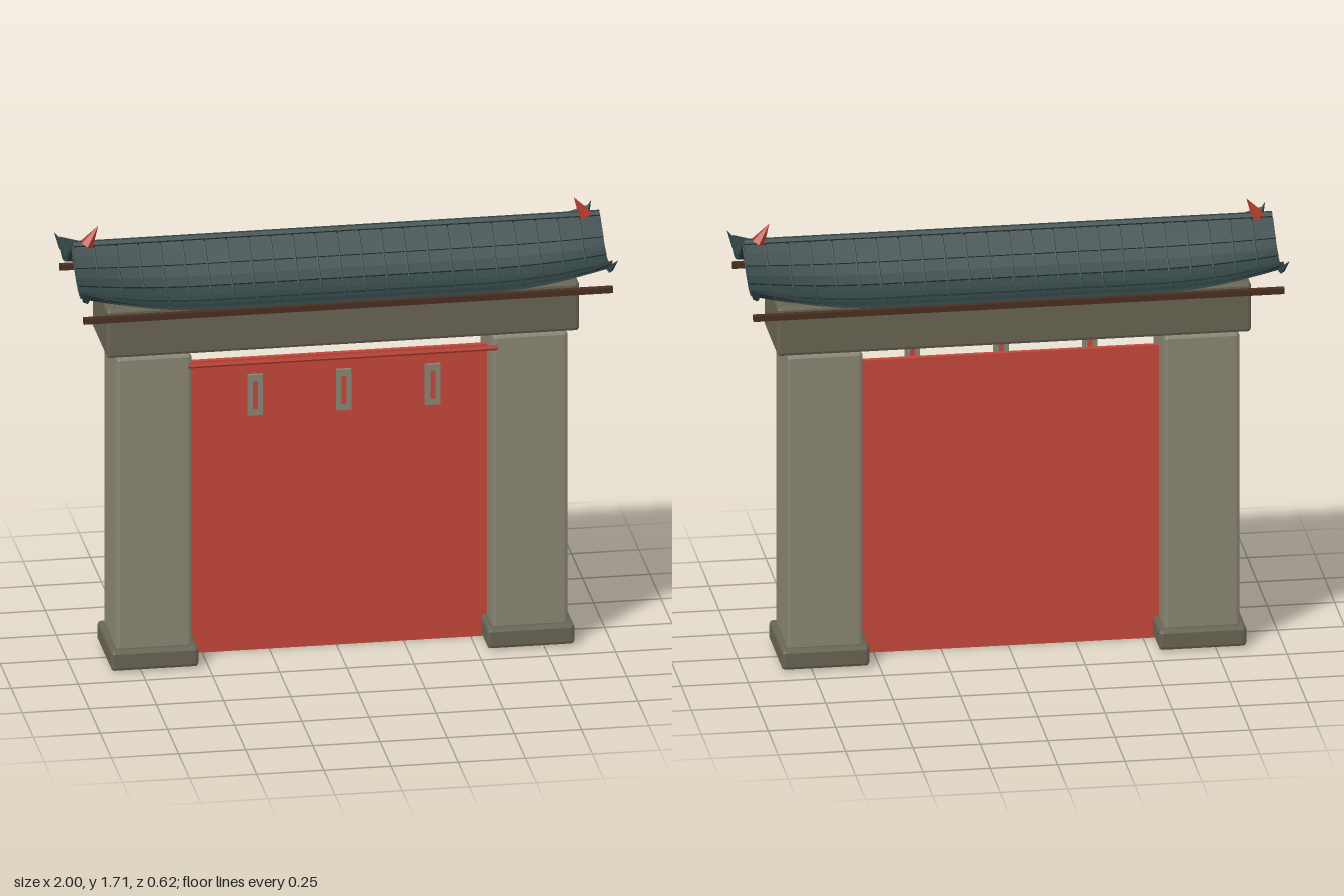
import * as THREE from 'three';
import { mergeGeometries } from 'three/addons/utils/BufferGeometryUtils.js';
import { RoundedBoxGeometry } from 'three/addons/geometries/RoundedBoxGeometry.js';

const paint = (name, color, extra = {}) => {
  const m = new THREE.MeshStandardMaterial({ color, flatShading: true, ...extra });
  m.name = name;
  return m;
};

// Height of the roof over z (ridge to eave); the ends sweep upward toward the corners
const HALF = 0.985, EAVE = 0.285;
const profile = new THREE.SplineCurve([[0, 1.62], [0.07, 1.55], [0.14, 1.487], [0.21, 1.452], [EAVE, 1.46]]
  .map(p => new THREE.Vector2(...p)));
function roofPoint(x, v, lift = 0) {
  const p = profile.getPoint(v), t = profile.getTangent(v);
  const s = Math.max(0, (Math.abs(x) - 0.5) / (HALF - 0.5));
  const y = p.y + 0.078 * s * s * Math.pow(v, 1.4);
  return new THREE.Vector3(x, y + t.x * lift, p.x - t.y * lift);
}

// Reshape a geometry by a rule applied to every vertex
function reshape(geo, rule) {
  const pos = geo.attributes.position, p = new THREE.Vector3();
  for (let i = 0; i < pos.count; i++) {
    const q = rule(p.fromBufferAttribute(pos, i));
    pos.setXYZ(i, q.x, q.y, q.z);
  }
  geo.computeVertexNormals();
  return geo;
}

// Cone from a base point to a tip
function spike(base, tip, radius, sides) {
  const a = new THREE.Vector3(...base), b = new THREE.Vector3(...tip), d = b.clone().sub(a);
  const geo = new THREE.ConeGeometry(radius, d.length(), sides);
  geo.applyQuaternion(new THREE.Quaternion().setFromUnitVectors(new THREE.Vector3(0, 1, 0), d.normalize()));
  const c = a.add(b).multiplyScalar(0.5);
  return geo.translate(c.x, c.y, c.z);
}

export function createModel() {
  const model = new THREE.Group();
  model.name = 'gate';
  const stone = paint('stone', 0x8a8674);
  const darkStone = paint('dark stone', 0x686453);
  const red = paint('red panel', 0xc4473a);
  const accent = paint('accent red', 0xb23a2c);
  const tile = paint('roof tile', 0x2f4142, { side: THREE.DoubleSide });
  const wood = paint('dark wood', 0x4a2e20);

  const add = (name, geo, mat, x = 0, y = 0, z = 0, parent = model) => {
    const m = new THREE.Mesh(geo, mat);
    m.name = name;
    m.position.set(x, y, z);
    parent.add(m);
    return m;
  };
  const chamferBox = (w, h, d, c = 0.013) => {
    const g = new RoundedBoxGeometry(w, h, d, 1, c);
    g.computeVertexNormals();
    return g;
  };

  // Pillars on plinths, with the lintel across
  for (const s of [1, -1]) {
    const side = s > 0 ? 'left' : 'right';
    add(side + 'Pillar', chamferBox(0.28, 1.16, 0.29), stone, s * 0.70, 0.655, 0);
    add(side + 'Plinth', chamferBox(0.325, 0.08, 0.33), darkStone, s * 0.70, 0.045, 0);
  }
  add('lintel', chamferBox(1.76, 0.195, 0.33), darkStone, 0, 1.338, 0);

  // Curtain panel and its rail
  add('panel', new THREE.BoxGeometry(1.13, 1.15, 0.02), red, 0, 0.575, 0);
  add('rail', new THREE.CylinderGeometry(0.01, 0.01, 1.15, 8).rotateZ(Math.PI / 2), accent, 0, 1.195, 0.165);

  // Hanging plaques with red centres
  for (const x of [-0.33, 0, 0.33]) {
    add('plaque', new THREE.BoxGeometry(0.056, 0.16, 0.013), stone, x, 1.072, 0.177);
    add('plaqueCentre', new THREE.BoxGeometry(0.018, 0.108, 0.019), red, x, 1.072, 0.177);
  }

  // One roof slope: underlay, overlapping tiles, corner tips and eave pole
  const columns = 24, rows = 4, pitch = 2 * HALF / columns, gap = 0.003;
  const underlay = reshape(new THREE.PlaneGeometry(2 * HALF, 1, columns, 8),
    p => roofPoint(p.x, 0.5 - p.y));
  const tiles = [];
  for (let r = 0; r < rows; r++) {
    for (let c = 0; c < columns; c++) {
      const cx = -HALF + (c + 0.5) * pitch;
      tiles.push(reshape(new THREE.BoxGeometry(1, 1, 1, 1, 1, 2), p => {
        const along = p.z + 0.5;
        const v = (r + along) / rows;
        return roofPoint(cx + p.x * (pitch - 2 * gap), v, 0.002 + 0.008 * along + (p.y + 0.5) * 0.012);
      }));
    }
  }
  const tileGeo = mergeGeometries(tiles);
  for (const s of [1, -1]) {
    const slope = new THREE.Group();
    slope.name = s > 0 ? 'frontRoofSlope' : 'backRoofSlope';
    slope.rotation.y = s > 0 ? 0 : Math.PI;
    add('roofUnderlay', underlay, tile, 0, 0, 0, slope);
    add('roofTiles', tileGeo, tile, 0, 0, 0, slope);
    for (const e of [1, -1])
      add('cornerTip', spike([e * 0.972, 1.52, 0.272], [e * 1.0, 1.568, 0.308], 0.016, 4), tile, 0, 0, 0, slope);
    add('eavePole', new THREE.BoxGeometry(1.97, 0.022, 0.022), wood, 0, 1.442, 0.275, slope);
    model.add(slope);
  }

  // Ridge cap and red ridge horns
  add('ridgeCap', new THREE.CylinderGeometry(0.014, 0.014, 1.96, 6).rotateZ(Math.PI / 2), tile, 0, 1.635, 0);
  for (const s of [1, -1])
    add('ridgeHorn', spike([s * 0.928, 1.632, 0], [s * 0.885, 1.705, 0], 0.027, 6), accent);

  return model;
}
